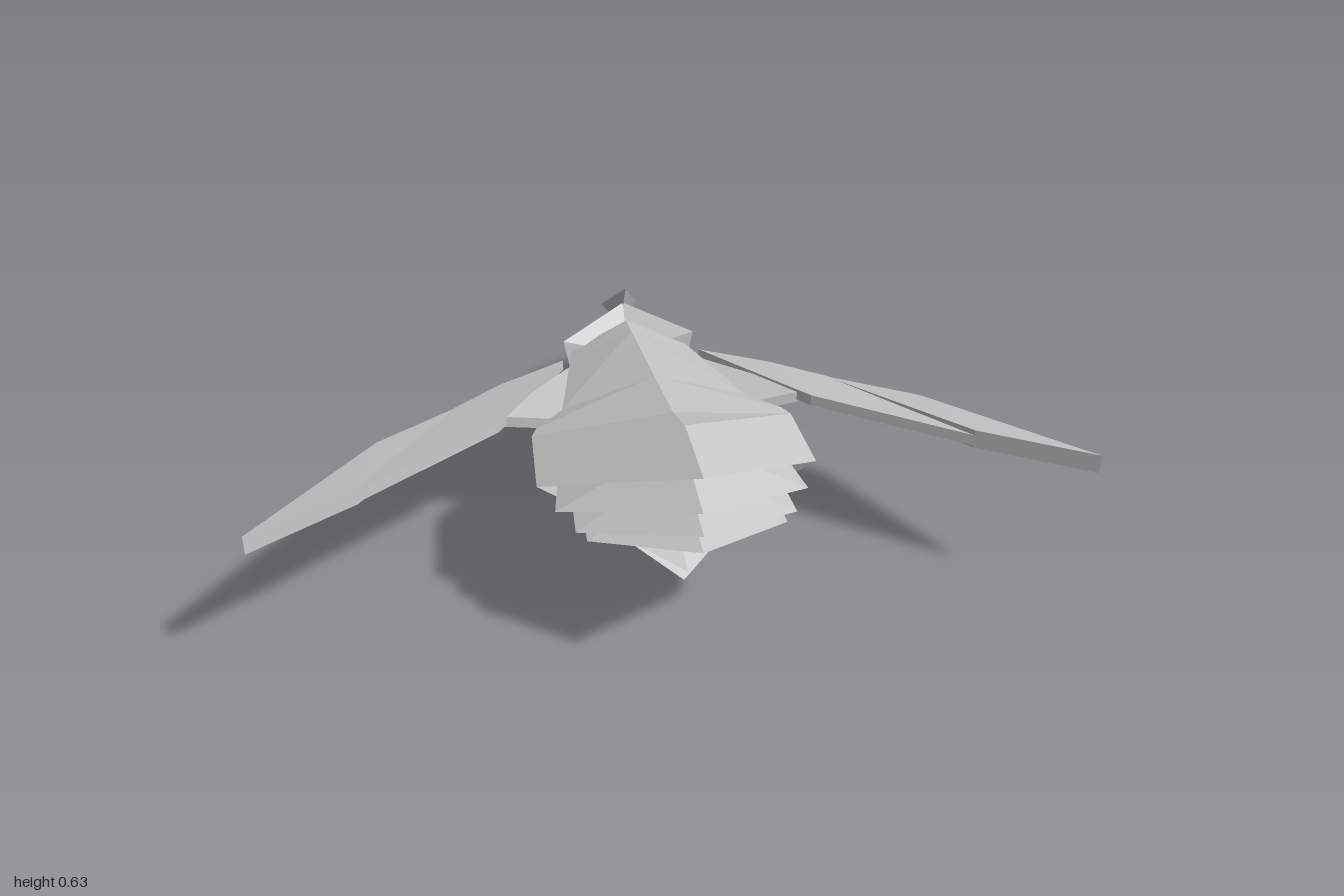
import * as THREE from 'three';

const material = new THREE.MeshStandardMaterial({
  color: 0xcccccc, flatShading: true, side: THREE.DoubleSide,
});

// Mesh from a list of triangles, skipping collapsed ones
function facets(name, tris) {
  const a = new THREE.Vector3(), b = new THREE.Vector3(), c = new THREE.Vector3();
  const kept = tris.filter(([p, q, r]) => {
    a.fromArray(p);
    b.fromArray(q).sub(a);
    c.fromArray(r).sub(a);
    return b.cross(c).length() > 1e-7;
  });
  const geometry = new THREE.BufferGeometry();
  geometry.setAttribute('position', new THREE.Float32BufferAttribute(kept.flat(2), 3));
  geometry.computeVertexNormals();
  const mesh = new THREE.Mesh(geometry, material);
  mesh.name = name;
  return mesh;
}

const mirror = (tris) =>
  tris.map(([a, b, c]) => [a, c, b].map(([x, y, z]) => [-x, y, z]));

// Skin over half cross-sections (centre to side to centre), mirrored in x
function skin(name, rows) {
  const tris = [];
  for (let i = 0; i < rows.length - 1; i++) {
    for (let j = 0; j < rows[i].length - 1; j++) {
      const a = rows[i][j], b = rows[i][j + 1];
      const c = rows[i + 1][j + 1], d = rows[i + 1][j];
      tris.push([a, d, c], [a, c, b]);
    }
  }
  return facets(name, [...tris, ...mirror(tris)]);
}

// Thick plate below a fan of top corners, on one side
function plate(name, top, thickness, left) {
  const low = top.map(([x, y, z]) => [x, y - thickness, z]);
  const tris = [];
  const n = top.length;
  for (let i = 1; i < n - 1; i++) {
    tris.push([top[0], top[i + 1], top[i]], [low[0], low[i], low[i + 1]]);
  }
  for (let i = 0; i < n; i++) {
    const k = (i + 1) % n;
    tris.push([top[i], top[k], low[k]], [top[i], low[k], low[i]]);
  }
  return facets(name, left ? tris : mirror(tris));
}

const point = (p, n) => Array(n).fill(p);

export function createModel() {
  const group = new THREE.Group();
  const root = [0.23, 0.295, 0.37];

  // Body: ridge, shoulder, lower edge, keel
  group.add(skin('body', [
    [[0, 0.37, -0.38], [0.16, 0.3, -0.36], [0.13, 0.23, -0.36], [0, 0.18, -0.36]],
    [[0, 0.395, -0.28], [0.17, 0.32, -0.28], [0.14, 0.245, -0.28], [0, 0.195, -0.28]],
    [[0, 0.488, 0.11], [0.235, 0.41, 0.11], [0.2, 0.29, 0.09], [0, 0.265, 0.08]],
    [[0, 0.555, 0.385], [0.31, 0.42, 0.2], [0.235, 0.29, 0.2], [0, 0.235, 0.24]],
    [[0, 0.62, 0.54], [0.325, 0.425, 0.24], [0.24, 0.29, 0.25], [0, 0.2, 0.3]],
    [[0, 0.63, 0.765], [0.335, 0.43, 0.46], root, [0, 0.19, 0.56]],
  ]));

  // Tail feathers: alternating tips and valleys fanning from one root
  const feathers = [
    [[0, 0.63, 0.765], [0.335, 0.43, 0.46]],
    [[0, 0.56, 0.5], [0.28, 0.4, 0.4]],
    [[0, 0.54, 0.77], [0.3, 0.405, 0.53]],
    [[0, 0.5, 0.5], [0.25, 0.375, 0.4]],
    [[0, 0.49, 0.787], [0.26, 0.385, 0.59]],
    [[0, 0.45, 0.5], [0.23, 0.35, 0.4]],
    [[0, 0.445, 0.787], [0.235, 0.365, 0.6]],
    [[0, 0.37, 0.42], [0.2, 0.325, 0.39]],
    [[0, 0.33, 0.56], [0.18, 0.315, 0.45]],
    [[0, 0.3, 0.45], [0.15, 0.3, 0.4]],
    [[0, 0.25, 0.605], [0.15, 0.272, 0.46]],
    [[0, 0.235, 0.48], [0.12, 0.26, 0.42]],
    [[0, 0.19, 0.56], [0.115, 0.2425, 0.465]],
  ];
  group.add(skin('tailFeathers', feathers.map((row) => [...row, root])));

  // Head with a drooping beak
  group.add(skin('head', [
    point([0, 0, -0.793], 4),
    [[0, 0.19, -0.69], [0.06, 0.115, -0.68], [0.055, 0.09, -0.68], [0, 0.07, -0.69]],
    [[0, 0.3, -0.56], [0.12, 0.2, -0.57], [0.11, 0.17, -0.57], [0, 0.125, -0.59]],
    [[0, 0.37, -0.47], [0.17, 0.31, -0.4], [0.15, 0.19, -0.39], [0, 0.15, -0.4]],
    [[0, 0.395, -0.44], [0.182, 0.345, -0.335], [0.16, 0.23, -0.33], [0, 0.165, -0.36]],
    point([0, 0.28, -0.35], 4),
  ]));

  // Brow plate and swept-back crest
  group.add(skin('brow', [
    point([0, 0.195, -0.695], 3),
    [[0, 0.29, -0.59], [0.07, 0.235, -0.61], [0, 0.2, -0.6]],
    point([0, 0.335, -0.52], 3),
  ]));
  group.add(skin('crest', [
    point([0, 0.3, -0.587], 3),
    [[0, 0.385, -0.485], [0.05, 0.345, -0.53], [0, 0.295, -0.5]],
    point([0, 0.475, -0.378], 3),
  ]));

  // Wings: three tilted plates each side
  for (const left of [true, false]) {
    const wing = new THREE.Group();
    wing.name = left ? 'leftWing' : 'rightWing';
    wing.add(
      plate('innerWing', [
        [0.2, 0.37, 0.1], [0.14, 0.31, -0.26], [0.185, 0.315, -0.24], [0.4, 0.4, 0.1],
      ], 0.03, left),
      plate('middleWing', [
        [0.4, 0.415, 0.15], [0.19, 0.315, -0.285], [0.37, 0.32, -0.18],
        [0.5, 0.335, -0.06], [0.75, 0.42, 0.4],
      ], 0.03, left),
      plate('outerWing', [
        [0.75, 0.435, 0.4], [0.495, 0.335, -0.06], [0.705, 0.36, 0.11], [1, 0.455, 0.58],
      ], 0.05, left),
    );
    group.add(wing);
  }
  return group;
}
